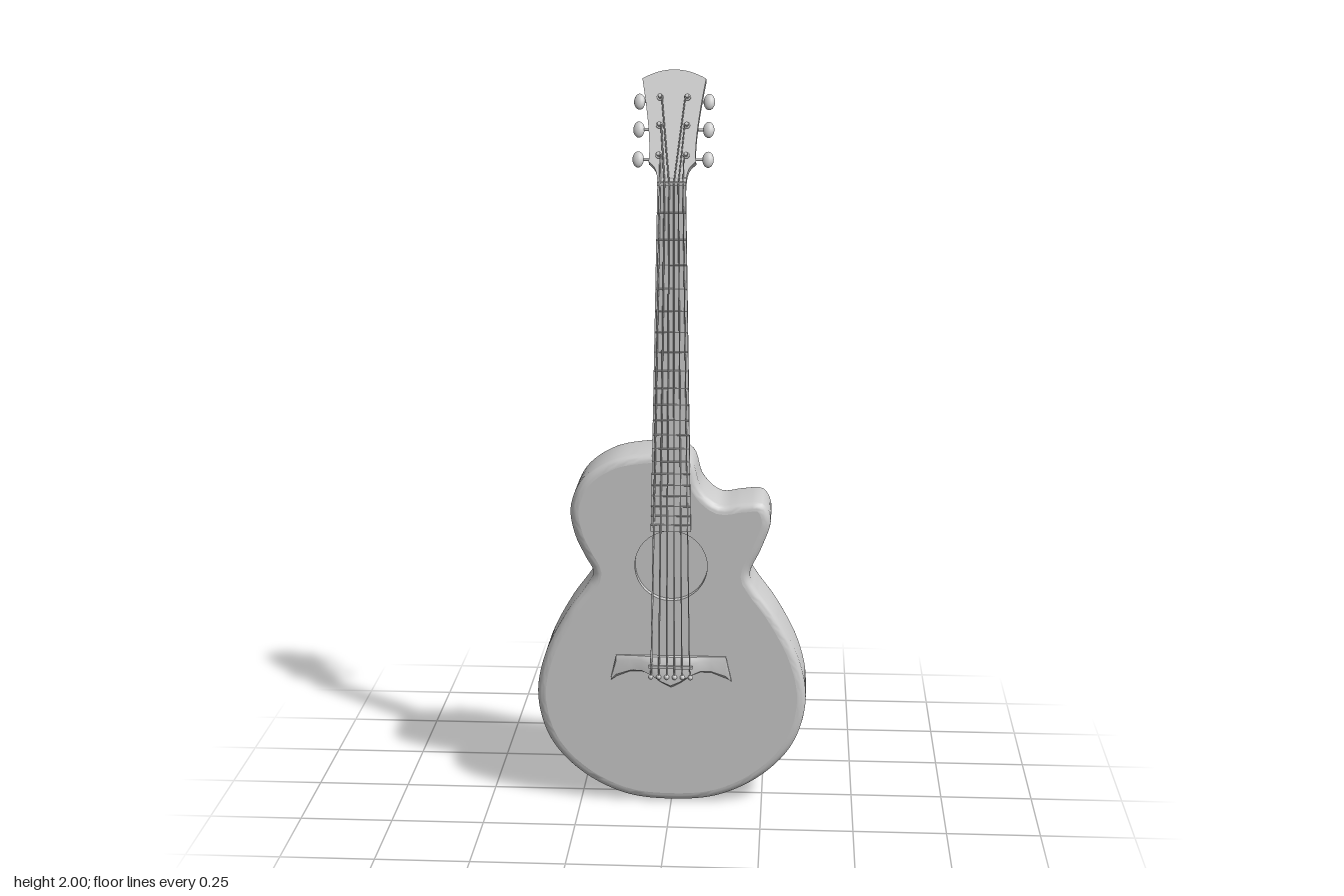
import * as THREE from 'three';
import { toCreasedNormals } from 'three/addons/utils/BufferGeometryUtils.js';

const material = new THREE.MeshStandardMaterial({ color: 0xcccccc, side: THREE.DoubleSide });
const V = (x, y, z) => new THREE.Vector3(x, y, z);

function add(parent, name, geometry, x = 0, y = 0, z = 0) {
  const mesh = new THREE.Mesh(geometry, material);
  mesh.name = name;
  mesh.position.set(x, y, z);
  parent.add(mesh);
  return mesh;
}

// Skin closed rings of [x, y, z] points, optionally capping both ends
function loft(rings, caps = true, crease = 0.6) {
  const n = rings[0].length, pos = rings.flat(2), index = [];
  for (let i = 0; i < rings.length - 1; i++)
    for (let j = 0; j < n; j++) {
      const a = i * n + j, b = i * n + (j + 1) % n;
      index.push(a, b, b + n, a, b + n, a + n);
    }
  if (caps) {
    const last = (rings.length - 1) * n;
    for (let j = 1; j < n - 1; j++) index.push(0, j + 1, j, last, last + j, last + j + 1);
  }
  const g = new THREE.BufferGeometry();
  g.setAttribute('position', new THREE.Float32BufferAttribute(pos, 3));
  g.setIndex(index);
  return toCreasedNormals(g, crease);
}

// Thin cylinder between two points
function rod(parent, name, a, b, r, sides = 8) {
  const d = b.clone().sub(a);
  const mesh = add(parent, name, new THREE.CylinderGeometry(r, r, d.length(), sides));
  mesh.position.copy(a).add(b).multiplyScalar(0.5);
  mesh.quaternion.setFromUnitVectors(V(0, 1, 0), d.normalize());
  return mesh;
}

const NUT = 1.715, FRET_END = 0.785, FRONT = 0.075, BACK = -0.113;
const TILT = Math.atan(0.456), HEAD_Z = 0.043;
const boardZ = y => 0.048 + 0.04 * (NUT - y) / (NUT - FRET_END);
const boardW = y => 0.037 + 0.017 * (NUT - y) / (NUT - FRET_END);

function makeBody(group) {
  const lower = [[0.13, 0.018], [0.25, 0.08], [0.335, 0.175], [0.369, 0.3], [0.348, 0.42], [0.285, 0.545], [0.228, 0.625]];
  const points = [[0, 0.003], ...lower,
    [0.212, 0.658], [0.244, 0.735], [0.268, 0.815], [0.245, 0.862], [0.19, 0.862], [0.13, 0.856], [0.08, 0.9],
    [0.055, 0.972], [0.015, 0.995], [-0.08, 0.993], [-0.165, 0.974], [-0.24, 0.92], [-0.273, 0.84],
    [-0.262, 0.765], [-0.235, 0.705], [-0.212, 0.658],
    ...lower.map(([x, y]) => [-x, y]).reverse()];
  const curve = new THREE.CatmullRomCurve3(points.map(([x, y]) => V(x, y, 0)), true);
  const outline = curve.getSpacedPoints(200).slice(0, -1);
  const n = outline.length;
  const inset = d => outline.map((p, i) => {
    const t = outline[(i + 1) % n].clone().sub(outline[(i + n - 1) % n]).normalize();
    return new THREE.Vector2(p.x - t.y * d, p.y + t.x * d);
  });

  // Sides with rounded edges
  const r = 0.024, steps = 6, rings = [];
  const ring = (d, z) => inset(d).map(p => [p.x, p.y, z]);
  for (let k = 0; k <= steps; k++) {
    const a = k / steps * Math.PI / 2;
    rings.push(ring(r * (1 - Math.sin(a)), BACK + r * (1 - Math.cos(a))));
  }
  for (let k = steps; k >= 0; k--) {
    const a = k / steps * Math.PI / 2;
    rings.push(ring(r * (1 - Math.sin(a)), FRONT - r * (1 - Math.cos(a))));
  }
  add(group, 'bodySides', loft(rings, false, 0.9));

  // Back plate and top plate with its sound hole
  add(group, 'bodyBack', new THREE.ShapeGeometry(new THREE.Shape(inset(r))), 0, 0, BACK).geometry.scale(1, 1, -1);
  const top = new THREE.Shape(inset(r));
  top.holes.push(new THREE.Path().absarc(0, 0.685, 0.098, 0, Math.PI * 2, true));
  add(group, 'bodyTop', new THREE.ShapeGeometry(top, 32), 0, 0, FRONT);
  const wall = new THREE.CylinderGeometry(0.098, 0.098, 0.02, 64, 1, true).rotateX(Math.PI / 2);
  add(group, 'soundHoleWall', wall, 0, 0.685, FRONT - 0.01);
  add(group, 'soundHoleFloor', new THREE.CircleGeometry(0.098, 64), 0, 0.685, FRONT - 0.02);
}

function makeNeck(group) {
  // [height, back z] from heel to nut
  const stations = [[0.92, -0.1], [1.03, -0.1], [1.037, -0.085], [1.043, -0.06], [1.052, -0.035],
    [1.065, -0.01], [1.08, 0.012], [1.105, 0.028], [1.4, 0.021], [1.68, 0.012], [1.73, 0.006]];
  add(group, 'neck', loft(stations.map(([y, back]) => {
    const front = boardZ(y) - 0.01, w = boardW(y), ring = [];
    for (let k = 0; k <= 16; k++) {
      const a = k / 16 * Math.PI;
      ring.push([w * Math.cos(a), y, front - (front - back) * Math.sin(a)]);
    }
    return ring;
  })));

  add(group, 'fretboard', loft([FRET_END, NUT].map(y => {
    const w = boardW(y), z = boardZ(y);
    return [[w, y, z], [w, y, z - 0.016], [-w, y, z - 0.016], [-w, y, z]];
  })));

  // Frets at equal-tempered spacing
  for (let i = 1; i <= 20; i++) {
    const y = 0.385 + 1.33 * Math.pow(2, -i / 12), w = boardW(y);
    rod(group, 'fret', V(-w, y, boardZ(y)), V(w, y, boardZ(y)), 0.002, 6);
  }
  add(group, 'nut', new THREE.BoxGeometry(0.076, 0.01, 0.018), 0, NUT, 0.045);
}

const POSTS = [0.077, 0.159, 0.236];

function makeHead(group) {
  const head = new THREE.Group();
  head.name = 'headstock';
  head.position.set(0, NUT, HEAD_Z);
  head.rotation.x = -TILT;
  group.add(head);

  // Flared plate with an arched top
  const s = new THREE.Shape();
  s.moveTo(-0.037, -0.01);
  s.lineTo(0.037, -0.01);
  s.bezierCurveTo(0.038, 0.04, 0.045, 0.045, 0.062, 0.06);
  s.quadraticCurveTo(0.055, 0.12, 0.084, 0.288);
  s.quadraticCurveTo(0, 0.338, -0.084, 0.288);
  s.quadraticCurveTo(-0.055, 0.12, -0.062, 0.06);
  s.bezierCurveTo(-0.045, 0.045, -0.038, 0.04, -0.037, -0.01);
  const plate = new THREE.ExtrudeGeometry(s, { depth: 0.027, bevelEnabled: false, curveSegments: 16 });
  add(head, 'headPlate', toCreasedNormals(plate, 0.6), 0, 0, -0.027);

  // Tuners: post, gear housing, shaft and button
  for (const side of [-1, 1]) for (const v of POSTS) {
    const x = side * 0.036;
    rod(head, 'tunerPost', V(x, v, -0.01), V(x, v, 0.016), 0.005, 12);
    rod(head, 'tunerBushing', V(x, v, -0.001), V(x, v, 0.004), 0.009, 16);
    rod(head, 'tunerHousing', V(side * 0.046, v, -0.024), V(side * 0.046, v, -0.043), 0.013, 16);
    rod(head, 'tunerShaft', V(side * 0.04, v, -0.035), V(side * 0.085, v, -0.035), 0.004);
    add(head, 'tunerButton', new THREE.SphereGeometry(1, 16, 12), side * 0.092, v, -0.035).scale.set(0.015, 0.022, 0.01);
  }
}

function makeBridge(group) {
  // [x, bottom, top, thickness] for one half
  const half = [[0.165, 0.358, 0.364, 0.006], [0.15, 0.366, 0.43, 0.008], [0.11, 0.382, 0.43, 0.009],
    [0.08, 0.383, 0.43, 0.014], [0.055, 0.372, 0.43, 0.022], [0.025, 0.35, 0.43, 0.024], [0, 0.337, 0.43, 0.024]];
  const all = [...half.map(([x, ...rest]) => [-x, ...rest]), ...half.slice(0, -1).reverse()];
  add(group, 'bridge', loft(all.map(([x, b, t, h]) => [
    [x, b, FRONT - 0.002], [x, t, FRONT - 0.002], [x, t, FRONT + h * 0.6],
    [x, t - (t - b) * 0.25, FRONT + h], [x, b + (t - b) * 0.15, FRONT + h]])));
  add(group, 'saddle', new THREE.BoxGeometry(0.12, 0.008, 0.02), 0, 0.405, 0.094);
}

function makeStrings(group) {
  const c = Math.cos(TILT), sn = Math.sin(TILT);
  const headPoint = (x, v, w) => V(x, NUT + v * c + w * sn, HEAD_Z - v * sn + w * c);
  for (let i = 0; i < 6; i++) {
    const u = (i - 2.5) / 2.5, side = Math.sign(u);
    const v = POSTS[i < 3 ? i : 5 - i];
    const pin = V(u * 0.054, 0.376, 0.1), saddle = V(u * 0.052, 0.405, 0.105), nut = V(u * 0.03, NUT, 0.055);
    const r = 0.0026 - i * 0.0002;
    rod(group, 'string', pin, saddle, r, 6);
    rod(group, 'string', saddle, nut, r, 6);
    rod(group, 'string', nut, headPoint(side * 0.031, v, 0.01), r, 6);
    add(group, 'bridgePin', new THREE.SphereGeometry(0.007, 12, 8), pin.x, pin.y, pin.z);
  }
}

export function createModel() {
  const group = new THREE.Group();
  group.name = 'acousticGuitar';
  makeBody(group);
  makeNeck(group);
  makeHead(group);
  makeBridge(group);
  makeStrings(group);
  return group;
}
